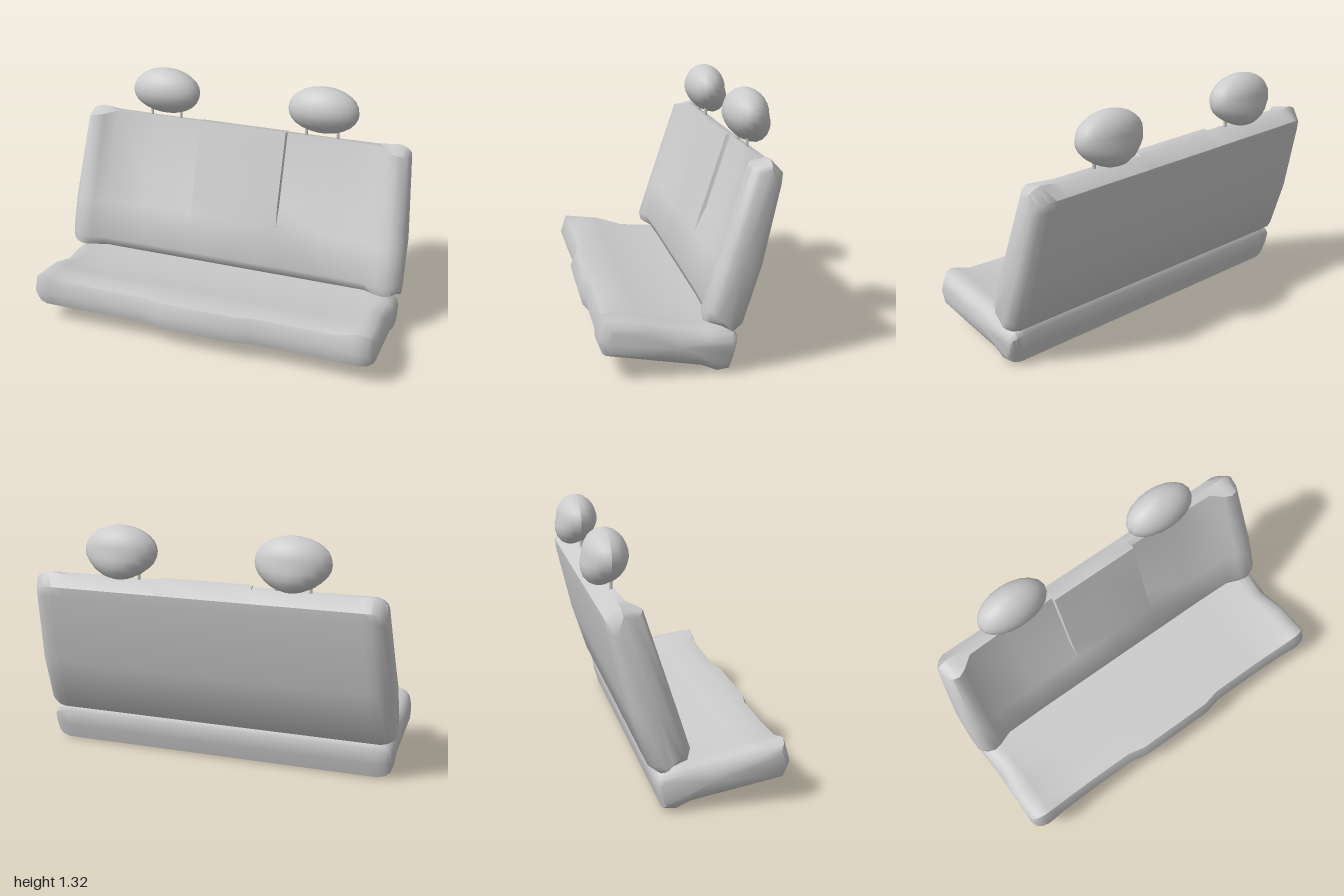
import * as THREE from 'three';
import { toCreasedNormals } from 'three/addons/utils/BufferGeometryUtils.js';

const material = new THREE.MeshStandardMaterial({ color: 0xcccccc, side: THREE.DoubleSide });
const { lerp, clamp } = THREE.MathUtils;

function addMesh(parent, name, geometry) {
  const mesh = new THREE.Mesh(geometry, material);
  mesh.name = name;
  parent.add(mesh);
  return mesh;
}

// Skin over a row of closed [z, y] sections, given for x >= 0 and mirrored.
function loft(half, place) {
  const mirrored = half.slice(1).reverse().map(([x, pts]) => [-x, pts]);
  const sections = [...mirrored, ...half];
  const n = half[0][1].length;
  const pos = [], idx = [];
  for (const [x, pts] of sections) for (const [z, y] of pts) pos.push(...place(x, y, z));
  for (let i = 0; i < sections.length - 1; i++) {
    for (let j = 0; j < n; j++) {
      const k = (j + 1) % n;
      const a = i * n + j, b = i * n + k, c = b + n, d = a + n;
      idx.push(a, b, c, a, c, d);
    }
  }
  // End caps as fans around the section centre
  for (const end of [0, sections.length - 1]) {
    const c = [0, 0, 0], base = end * n;
    for (let j = 0; j < n; j++) for (let q = 0; q < 3; q++) c[q] += pos[(base + j) * 3 + q] / n;
    const centre = pos.length / 3;
    pos.push(...c);
    for (let j = 0; j < n; j++) {
      const a = base + j, b = base + (j + 1) % n;
      if (end) idx.push(centre, a, b);
      else idx.push(centre, b, a);
    }
  }
  const g = new THREE.BufferGeometry();
  g.setAttribute('position', new THREE.Float32BufferAttribute(pos, 3));
  g.setIndex(idx);
  return toCreasedNormals(g, 0.85);
}

const mix = (p, q, t) => p.map(([z, y], i) => [lerp(z, q[i][0], t), lerp(y, q[i][1], t)]);

function backrest() {
  const shell = [[-0.14, 0.24], [-0.2, 0.21], [-0.25, 0.25], [-0.34, 0.53], [-0.435, 0.93], [-0.44, 0.98]];
  const centre = [[-0.08, 0.32], [-0.095, 0.27], ...shell, [-0.365, 1.045], [-0.32, 1.05], [-0.19, 0.65], [-0.148, 0.53]];
  const panel = [[-0.08, 0.32], [-0.095, 0.27], ...shell, [-0.38, 1.035], [-0.34, 1.045], [-0.21, 0.65], [-0.15, 0.53]];
  const bolster = [[-0.04, 0.32], [-0.05, 0.27], ...shell, [-0.375, 1.05], [-0.265, 1.025], [-0.145, 0.65], [-0.107, 0.53]];
  // Shrinks the thickness towards the leaning mid line for the rounded sides
  const inset = (t) => bolster.map(([z, y]) => {
    const mid = lerp(-0.15, -0.35, (y - 0.28) / 0.72);
    return [lerp(z, mid, t), lerp(y, 0.63, t * 0.16)];
  });
  const half = [
    [0, centre], [0.256, centre], [0.262, panel], [0.55, panel],
    [0.8, mix(panel, bolster, 0.12)], [0.87, mix(panel, bolster, 0.75)],
    [0.92, bolster], [0.96, inset(0.13)], [0.985, inset(0.32)], [1, inset(0.55)],
  ];
  // The outer sides narrow towards the top
  return loft(half, (x, y, z) => {
    const taper = 0.04 * clamp((y - 0.5) / 0.45, 0, 1) * clamp((Math.abs(x) - 0.6) / 0.4, 0, 1);
    return [x * (1 - taper), y, z];
  });
}

function cushion() {
  const under = [[0.45, 0.13], [0.2, 0.085], [-0.04, 0.04], [-0.12, 0.007], [-0.18, 0.017], [-0.205, 0.1], [-0.22, 0.19], [-0.2, 0.22]];
  const middle = [[0.47, 0.21], ...under, [-0.08, 0.225], [0.08, 0.24], [0.24, 0.268], [0.36, 0.295], [0.44, 0.285]];
  const bolster = [[0.482, 0.215], ...under, [-0.08, 0.235], [0.08, 0.25], [0.24, 0.297], [0.36, 0.312], [0.45, 0.322]];
  const inset = (t) => bolster.map(([z, y]) => [z * (1 - t * 0.22), lerp(y, 0.14 + 0.1 * z, t)]);
  const half = [
    [0, middle], [0.22, middle], [0.32, middle], [0.6, middle], [0.8, mix(middle, bolster, 0.15)],
    [0.87, mix(middle, bolster, 0.8)], [0.91, bolster], [0.95, inset(0.1)], [0.975, inset(0.28)], [0.985, inset(0.5)],
  ];
  // Centre bulges forward; the sides are pinched where the backrest meets
  return loft(half, (x, y, z) => {
    const ax = Math.abs(x);
    const bulge = z > 0.4 ? (ax < 0.25 ? 0.008 : ax < 0.65 ? -0.014 : -0.01) : 0;
    const pinch = ax > 0.9 ? 0.025 * Math.exp(-(((z - 0.06) / 0.09) ** 2)) : 0;
    return [x * (1 - pinch), y, z + bulge];
  });
}

function headrestPad() {
  const g = new THREE.SphereGeometry(1, 20, 14);
  const p = g.attributes.position;
  // Ellipsoid with a fuller lower rear corner and a trimmed lower front
  for (let i = 0; i < p.count; i++) {
    const x = p.getX(i), y = p.getY(i), z = p.getZ(i);
    const low = Math.max(0, -y);
    const k = 1 + 0.5 * low * Math.max(0, -z) - 0.2 * low * Math.max(0, z);
    p.setXYZ(i, x * 0.201, y * k * 0.134, z * k * 0.115);
  }
  g.computeVertexNormals();
  return g;
}

export function createModel() {
  const model = new THREE.Group();
  model.name = 'benchSeat';
  addMesh(model, 'seatCushion', cushion());
  addMesh(model, 'backrest', backrest());

  // Two headrests, each on a pair of posts
  const pad = headrestPad();
  const post = new THREE.CylinderGeometry(0.009, 0.009, 0.12, 8);
  for (const [name, x] of [['leftHeadrest', 0.457], ['rightHeadrest', -0.477]]) {
    const headrest = new THREE.Group();
    headrest.name = name;
    headrest.position.set(x, 1.193, -0.366);
    addMesh(headrest, 'headrestPad', pad);
    for (const side of [-1, 1]) {
      addMesh(headrest, 'headrestPost', post).position.set(side * 0.09, -0.13, 0.012);
    }
    model.add(headrest);
  }
  return model;
}
